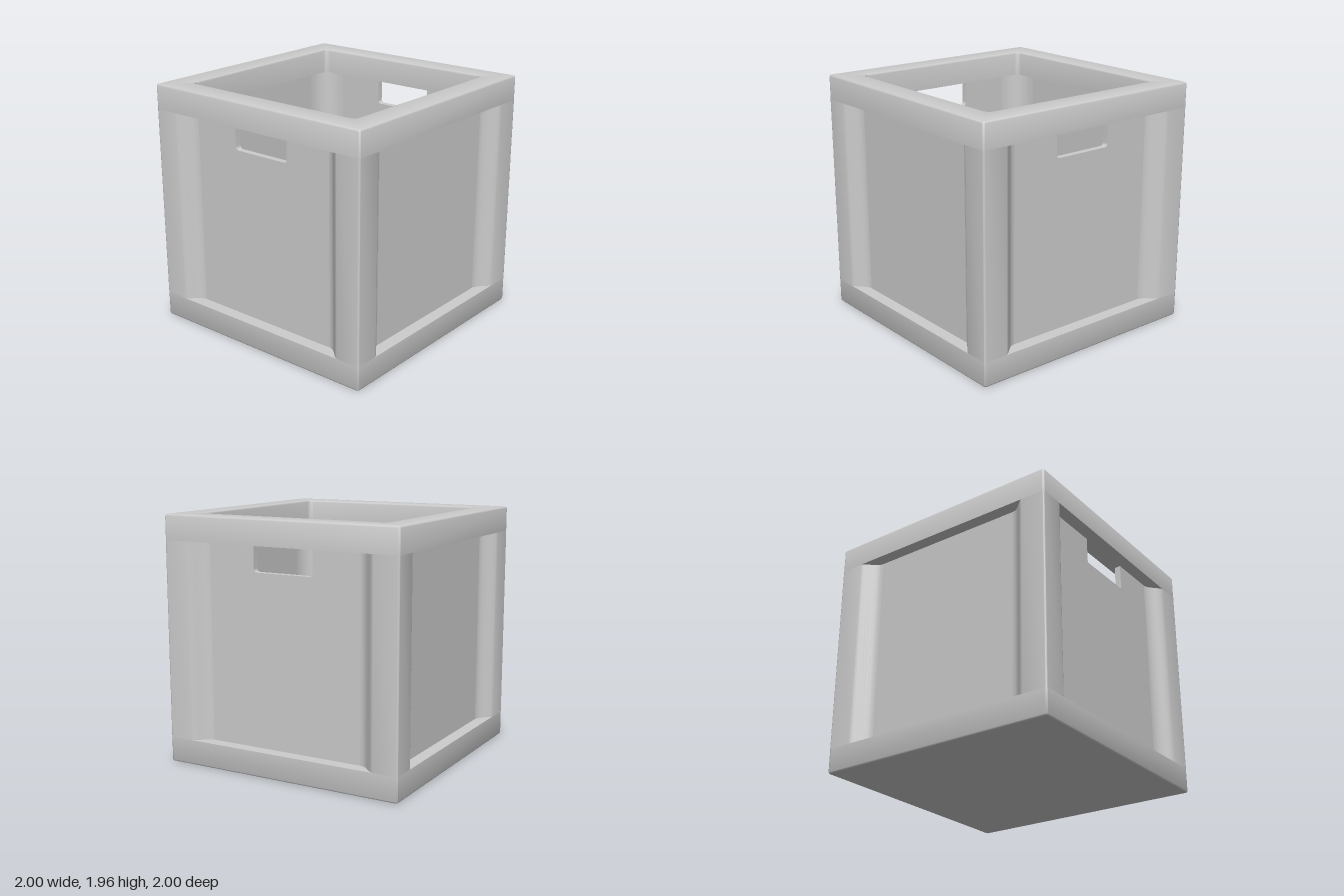
import * as THREE from 'three';
import { toCreasedNormals } from 'three/addons/utils/BufferGeometryUtils.js';

const BASE_TOP = 0.2, RIM_BOTTOM = 1.76, HEIGHT = 1.96;
const PANEL_OUT = 0.9, PANEL_IN = 0.85, PANEL_HALF = 0.65;

// Outline of a rounded square, counter-clockwise seen from above
function squareLoop(half, radius, steps = 4) {
  const points = [];
  const r = Math.min(radius, half);
  for (let c = 0; c < 4; c++) {
    const mid = Math.PI / 4 + c * Math.PI / 2;
    const cx = Math.sign(Math.cos(mid)) * (half - r), cz = Math.sign(Math.sin(mid)) * (half - r);
    for (let i = 0; i <= steps; i++) {
      const a = c * Math.PI / 2 + (i / steps) * Math.PI / 2;
      points.push([cx + r * Math.cos(a), cz + r * Math.sin(a)]);
    }
  }
  return points;
}

// Sweep a profile of [half width, y, corner radius] around the square
function squareSweep(profile) {
  const loops = profile.map(([half, , r]) => squareLoop(half, r));
  const n = loops[0].length, positions = [], index = [];
  profile.forEach(([, y], k) => loops[k].forEach(([x, z]) => positions.push(x, y, z)));
  for (let k = 0; k < profile.length - 1; k++) {
    for (let i = 0; i < n; i++) {
      const a = k * n + i, b = k * n + (i + 1) % n;
      index.push(a, a + n, b, b, a + n, b + n);
    }
  }
  const geometry = new THREE.BufferGeometry();
  geometry.setAttribute('position', new THREE.Float32BufferAttribute(positions, 3));
  geometry.setIndex(index);
  return toCreasedNormals(geometry, 0.9);
}

// Corner post: rounded outside, sloping into both recesses, coved inside
function postGeometry() {
  const s = new THREE.Shape();
  const r = 0.015;
  s.moveTo(PANEL_HALF, PANEL_IN);
  s.bezierCurveTo(0.77, PANEL_IN, PANEL_IN, 0.77, PANEL_IN, PANEL_HALF);
  s.lineTo(PANEL_OUT, PANEL_HALF);
  s.bezierCurveTo(PANEL_OUT, 0.71, 0.99, 0.76, 1, 0.8);
  s.lineTo(1, 1 - r);
  s.quadraticCurveTo(1, 1, 1 - r, 1);
  s.lineTo(0.8, 1);
  s.bezierCurveTo(0.76, 0.99, 0.71, PANEL_OUT, PANEL_HALF, PANEL_OUT);
  s.closePath();
  const g = new THREE.ExtrudeGeometry(s, {
    depth: RIM_BOTTOM - BASE_TOP, bevelEnabled: false, curveSegments: 8,
  });
  g.rotateX(Math.PI / 2);
  g.translate(0, RIM_BOTTOM, 0);
  return toCreasedNormals(g, 0.7);
}

// Side panel, with a hand slot cut under the rim when wanted
function panelGeometry(withSlot) {
  const s = new THREE.Shape();
  s.moveTo(-PANEL_HALF, BASE_TOP);
  s.lineTo(PANEL_HALF, BASE_TOP);
  s.lineTo(PANEL_HALF, RIM_BOTTOM);
  if (withSlot) {
    const w = 0.255, low = 1.55, r = 0.03;
    s.lineTo(w, RIM_BOTTOM);
    s.lineTo(w, low + r);
    s.quadraticCurveTo(w, low, w - r, low);
    s.lineTo(-w + r, low);
    s.quadraticCurveTo(-w, low, -w, low + r);
    s.lineTo(-w, RIM_BOTTOM);
  }
  s.lineTo(-PANEL_HALF, RIM_BOTTOM);
  s.closePath();
  const g = new THREE.ExtrudeGeometry(s, {
    depth: PANEL_OUT - PANEL_IN, bevelEnabled: false, curveSegments: 6,
  });
  g.translate(0, 0, PANEL_IN);
  return toCreasedNormals(g, 0.7);
}

export function createModel() {
  const model = new THREE.Group();
  model.name = 'openCrate';
  const grey = new THREE.MeshStandardMaterial({ color: 0xcccccc });
  grey.name = 'grey';

  const add = (name, geometry, turn = 0) => {
    const mesh = new THREE.Mesh(geometry, grey);
    mesh.name = name;
    mesh.rotation.y = turn * Math.PI / 2;
    model.add(mesh);
  };

  // Base tray with a softened bottom edge and a sunken floor
  add('base', squareSweep([
    [0.001, 0, 0.001], [0.985, 0, 0.01], [0.995, 0.004, 0.015], [1, 0.015, 0.015],
    [1, BASE_TOP, 0.015], [0.8, BASE_TOP, 0.04], [0.8, 0.15, 0.04], [0.001, 0.15, 0.001],
  ]));

  // Thick rim around the opening
  add('rim', squareSweep([
    [0.8, RIM_BOTTOM, 0.04], [1, RIM_BOTTOM, 0.015], [1, HEIGHT - 0.015, 0.015],
    [0.995, HEIGHT - 0.004, 0.015], [0.985, HEIGHT, 0.01], [0.815, HEIGHT, 0.05],
    [0.804, HEIGHT - 0.004, 0.045], [0.8, HEIGHT - 0.015, 0.04], [0.8, RIM_BOTTOM, 0.04],
  ]));

  // Four corner posts and four recessed panels; slots at front and back
  const post = postGeometry();
  const slotted = panelGeometry(true), plain = panelGeometry(false);
  const sides = ['front', 'left', 'back', 'right'];
  sides.forEach((side, i) => {
    add(`cornerPost${i + 1}`, post, i);
    add(`${side}Panel`, i % 2 === 0 ? slotted : plain, i);
  });
  return model;
}
